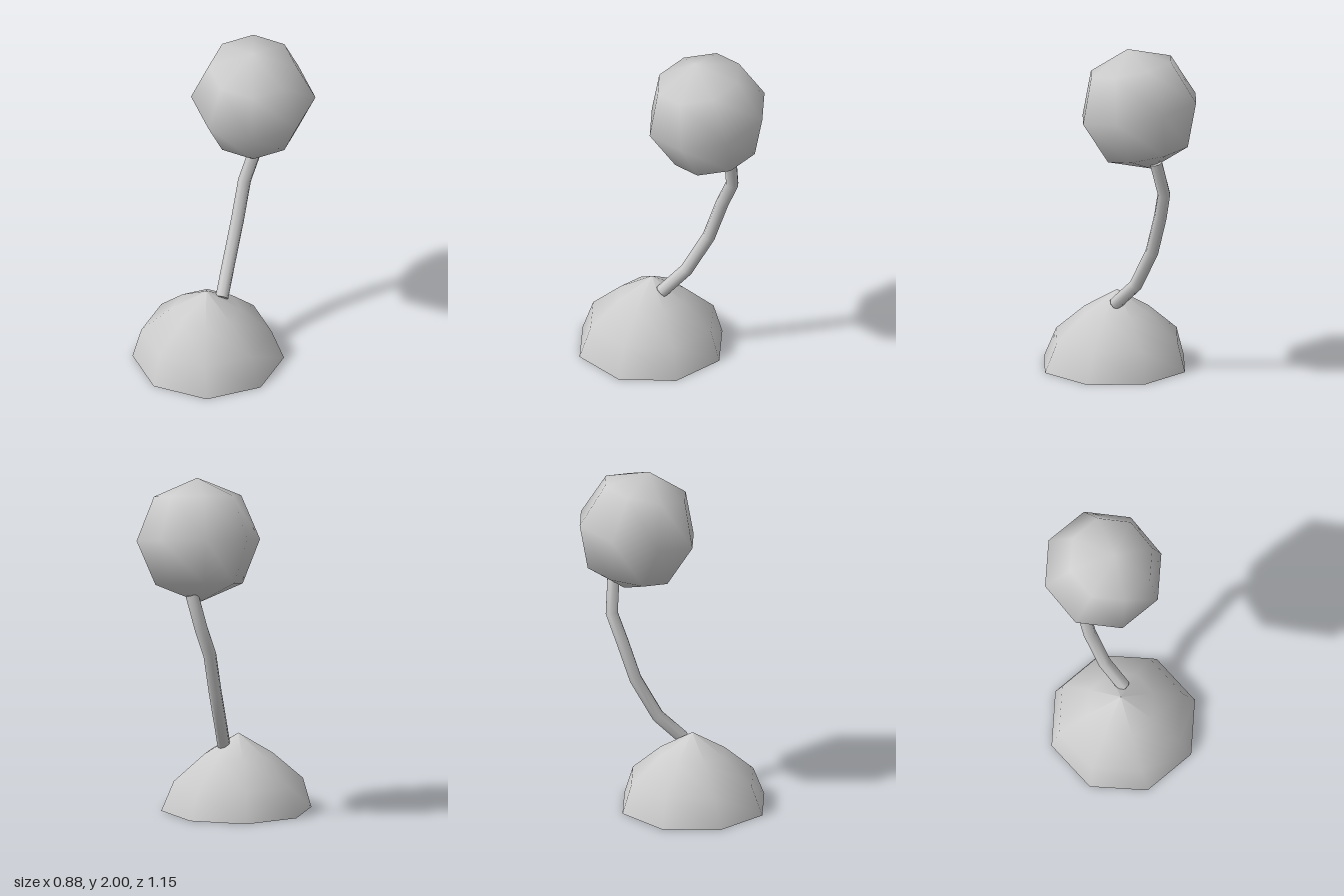
import * as THREE from 'three';

const material = new THREE.MeshStandardMaterial({ color: 0xcccccc, side: THREE.DoubleSide });

function part(name, geometry, parent) {
  const mesh = new THREE.Mesh(geometry, material);
  mesh.name = name;
  parent.add(mesh);
  return mesh;
}

export function createModel() {
  const model = new THREE.Group();
  model.name = 'domeLamp';

  // Base: open eight-sided dome, its upper rings leaning slightly to the right
  const profile = [[0.438, 0], [0.377, 0.175], [0.2, 0.33], [0, 0.452]];
  const dome = new THREE.LatheGeometry(profile.map(([r, y]) => new THREE.Vector2(r, y)), 8);
  const pos = dome.attributes.position;
  for (let i = 0; i < pos.count; i++) {
    if (pos.getY(i) > 0.1) pos.setX(i, pos.getX(i) - 0.015);
  }
  part('base', dome, model).position.z = 0.14;

  // Stem: bent tube with one straight segment between neighbouring points
  const points = [
    [0.03, 0.39, 0.06], [-0.045, 0.53, -0.065], [-0.095, 0.76, -0.185],
    [-0.115, 0.99, -0.26], [-0.107, 1.15, -0.33], [-0.05, 1.35, -0.345],
  ].map((p) => new THREE.Vector3(...p));
  const path = new THREE.CatmullRomCurve3(points);
  path.getPointAt = (t, target) => path.getPoint(t, target);
  path.getTangentAt = (t, target) => path.getTangent(t, target);
  const stem = new THREE.Group();
  stem.name = 'stem';
  model.add(stem);
  part('stemTube', new THREE.TubeGeometry(path, points.length - 1, 0.038, 8), stem);

  // Flat caps closing both stem ends
  for (const [name, t, sign] of [['stemLowerCap', 0, -1], ['stemUpperCap', 1, 1]]) {
    const cap = part(name, new THREE.CircleGeometry(0.038, 8), stem);
    cap.position.copy(path.getPoint(t));
    cap.quaternion.setFromUnitVectors(
      new THREE.Vector3(0, 0, 1), path.getTangent(t).multiplyScalar(sign));
  }

  // Head: coarse smooth ball, its pole tilted to the left and forward
  const head = part('head', new THREE.SphereGeometry(0.36, 8, 4), model);
  head.position.set(0, 1.648, -0.22);
  head.quaternion.setFromUnitVectors(
    new THREE.Vector3(0, 1, 0), new THREE.Vector3(0.05, 0.35, 0.055).normalize());

  return model;
}
